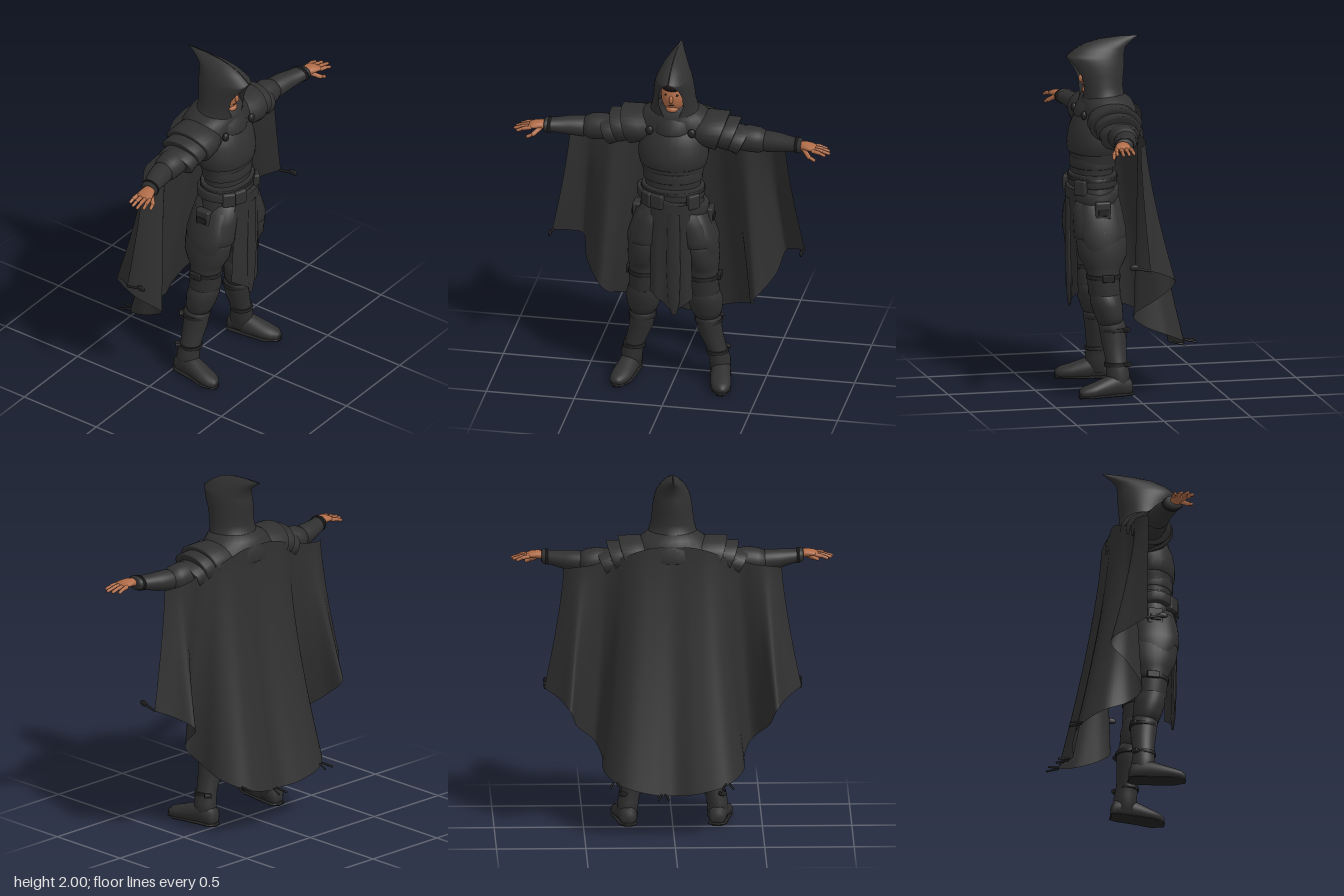
import * as THREE from 'three';
import { RoundedBoxGeometry } from 'three/addons/geometries/RoundedBoxGeometry.js';

const cloth = new THREE.MeshStandardMaterial({ color: 0x303030, side: THREE.DoubleSide });
cloth.name = 'charcoal cloth';
const strap = new THREE.MeshStandardMaterial({ color: 0x222222, side: THREE.DoubleSide });
strap.name = 'dark leather';
const skin = new THREE.MeshStandardMaterial({ color: 0xb06c48 });
skin.name = 'skin';
const hair = new THREE.MeshStandardMaterial({ color: 0x1c1614 });
hair.name = 'dark hair';

// Grid of points (rows x cols) to a smooth surface; optional wrap and end caps
function surface(rows, { wrap = false, caps = false, flip = false } = {}) {
  const n = rows[0].length, pos = rows.flat(2), idx = [];
  const tri = (a, b, c) => (flip ? idx.push(a, c, b) : idx.push(a, b, c));
  for (let i = 0; i < rows.length - 1; i++) {
    for (let j = 0; j < (wrap ? n : n - 1); j++) {
      const k = (j + 1) % n, a = i * n + j, b = i * n + k;
      tri(a, a + n, b);
      tri(b, a + n, b + n);
    }
  }
  if (caps) {
    for (const end of [0, rows.length - 1]) {
      const c = pos.length / 3;
      pos.push(...[0, 1, 2].map((k) => rows[end].reduce((s, p) => s + p[k], 0) / n));
      for (let j = 0; j < n; j++) {
        const a = end * n + j, b = end * n + ((j + 1) % n);
        end ? tri(c, b, a) : tri(c, a, b);
      }
    }
  }
  const g = new THREE.BufferGeometry();
  g.setAttribute('position', new THREE.Float32BufferAttribute(pos, 3));
  g.setIndex(idx);
  g.computeVertexNormals();
  return g;
}

// Elliptical rings [height, centreA, centreB, radiusA, radiusB, tilt] stacked along an axis
function loft(rings, axis = 'y', n = 28) {
  const rows = rings.map(([h, a, b, ra, rb, tilt = 0]) =>
    Array.from({ length: n }, (_, j) => {
      const t = (j / n) * Math.PI * 2;
      const p = a + ra * Math.cos(t), q = b + rb * Math.sin(t), s = h + tilt * Math.cos(t);
      return axis === 'y' ? [p, s, q] : axis === 'x' ? [s, p, q] : [p, q, s];
    }));
  const down = rings[rings.length - 1][0] < rings[0][0];
  return surface(rows, { wrap: true, caps: true, flip: (axis !== 'y') !== down });
}

const band = (y, x, z, rx, rz, h, tilt = 0) => loft([
  [y - h / 2, x, z, rx * 0.95, rz * 0.95, tilt], [y - h / 2.4, x, z, rx, rz, tilt],
  [y + h / 2.4, x, z, rx, rz, tilt], [y + h / 2, x, z, rx * 0.95, rz * 0.95, tilt]]);

function rod(a, b, r) {
  const A = new THREE.Vector3(...a), B = new THREE.Vector3(...b), d = B.clone().sub(A);
  const g = new THREE.CapsuleGeometry(r, d.length(), 4, 8);
  g.applyQuaternion(new THREE.Quaternion().setFromUnitVectors(new THREE.Vector3(0, 1, 0), d.clone().normalize()));
  const m = A.add(B).multiplyScalar(0.5);
  return g.translate(m.x, m.y, m.z);
}

const box = (w, h, d, x, y, z, ry = 0) =>
  new RoundedBoxGeometry(w, h, d, 2, Math.min(w, h, d) * 0.25).rotateY(ry).translate(x, y, z);
const ball = (x, y, z, rx, ry, rz) =>
  new THREE.SphereGeometry(1, 24, 16).scale(rx, ry, rz).translate(x, y, z);

function mirrored(g) {
  const m = g.clone().scale(-1, 1, 1);
  const src = m.index ? Array.from(m.index.array) : Array.from({ length: m.attributes.position.count }, (_, i) => i);
  for (let i = 0; i < src.length; i += 3) [src[i + 1], src[i + 2]] = [src[i + 2], src[i + 1]];
  m.setIndex(src);
  return m;
}

export function createModel() {
  const model = new THREE.Group(), body = new THREE.Group();
  model.name = 'hoodedFigure';
  body.name = 'figure';
  body.rotation.y = Math.PI / 2; // the figure is built facing z, then turned to face x
  model.add(body);
  const add = (name, g, mat = cloth) => {
    const m = new THREE.Mesh(g, mat);
    m.name = name;
    body.add(m);
  };
  const pair = (name, g, mat) => {
    add(name + 'Left', g, mat);
    add(name + 'Right', mirrored(g), mat);
  };

  // Torso, breastplate and collar
  add('torso', loft([[0.93, 0, 0.17, 0.15, 0.12], [1.05, 0, 0.17, 0.2, 0.14], [1.15, 0, 0.17, 0.17, 0.12],
    [1.25, 0, 0.175, 0.155, 0.115], [1.33, 0, 0.165, 0.175, 0.13], [1.42, 0, 0.155, 0.19, 0.145],
    [1.52, 0, 0.14, 0.185, 0.135], [1.6, 0, 0.12, 0.15, 0.12], [1.7, 0, 0.13, 0.07, 0.08]]));
  add('breastplate', loft([[1.35, 0, 0.165, 0.17, 0.13], [1.36, 0, 0.165, 0.188, 0.145], [1.42, 0, 0.16, 0.2, 0.153],
    [1.5, 0, 0.15, 0.195, 0.148], [1.57, 0, 0.13, 0.17, 0.135], [1.62, 0, 0.12, 0.12, 0.11]]));
  add('abdomenBand', band(1.3, 0, 0.172, 0.168, 0.128, 0.06));
  add('collar', loft([[1.55, 0, 0.135, 0.12, 0.13], [1.57, 0, 0.135, 0.135, 0.145], [1.63, 0, 0.135, 0.13, 0.125],
    [1.67, 0, 0.14, 0.09, 0.09], [1.7, 0, 0.14, 0.075, 0.08]]));
  add('shoulderCowl', loft([[1.52, 0, 0.09, 0.26, 0.15], [1.53, 0, 0.09, 0.275, 0.165], [1.6, 0, 0.09, 0.24, 0.16],
    [1.65, 0, 0.1, 0.18, 0.145], [1.69, 0, 0.12, 0.12, 0.11]]));

  // Head and face
  add('head', ball(0, 1.775, 0.15, 0.072, 0.105, 0.085), skin);
  add('nose', ball(0, 1.77, 0.235, 0.011, 0.024, 0.016), skin);
  add('chin', ball(0, 1.7, 0.2, 0.035, 0.022, 0.03), skin);
  add('mouth', ball(0, 1.733, 0.224, 0.02, 0.004, 0.005), hair);
  add('hairFringe', ball(0, 1.85, 0.17, 0.076, 0.045, 0.085), hair);
  pair('eye', ball(0.027, 1.795, 0.222, 0.013, 0.006, 0.005), hair);

  // Hood: half rings [y, halfWidth, back, front, openingHalfWidth] swept around the face opening
  const hood = [[1.6, 0.19, -0.07, 0.24, 0.02], [1.64, 0.16, -0.04, 0.24, 0.03], [1.68, 0.135, -0.005, 0.245, 0.05],
    [1.73, 0.122, 0, 0.255, 0.068], [1.79, 0.114, -0.005, 0.275, 0.068], [1.84, 0.108, -0.01, 0.3, 0.055],
    [1.88, 0.098, -0.01, 0.318, 0.03], [1.9, 0.09, -0.01, 0.322, 0.002], [1.94, 0.068, -0.02, 0.27, 0.001],
    [1.97, 0.042, -0.055, 0.21, 0.001], [1.99, 0.016, -0.085, 0.13, 0.001], [2, 0.003, -0.1, 0.02, 0.001]];
  add('hood', surface(hood.map(([y, w, b, f, o]) => Array.from({ length: 41 }, (_, j) => {
    const a0 = Math.asin(o / w), a = a0 + (j / 40) * (Math.PI * 2 - 2 * a0);
    return [w * Math.sin(a), y, (f + b) / 2 + ((f - b) / 2) * Math.cos(a)];
  })), { flip: true }));

  // Layered shoulder pads
  const pads = [[0.1, 0.27, 1.565, 1.545, 0.105, 0.15], [0.2, 0.335, 1.55, 1.53, 0.09, 0.13], [0.27, 0.39, 1.525, 1.495, 0.075, 0.115]];
  pads.forEach(([x0, x1, y0, y1, ry, rz], i) => pair('shoulderPad' + (i + 1), loft([
    [x0, y0, 0.09, ry * 0.8, rz * 0.85, 0.01], [(x0 + x1) / 2, (y0 + y1) / 2, 0.1, ry * 0.92, rz * 0.97, 0.02],
    [x1, y1, 0.1, ry, rz, 0.035], [x1 + 0.003, y1, 0.1, ry * 0.85, rz * 0.85, 0.03]], 'x')));

  // Arms, gloves of the sleeve and hands
  pair('sleeve', loft([[0.15, 1.53, 0.09, 0.08, 0.09], [0.36, 1.51, 0.1, 0.066, 0.075], [0.42, 1.51, 0.1, 0.075, 0.08],
    [0.48, 1.505, 0.1, 0.072, 0.076], [0.525, 1.505, 0.105, 0.052, 0.058]], 'x'));
  pair('bracer', loft([[0.5, 1.505, 0.105, 0.05, 0.055], [0.52, 1.505, 0.107, 0.06, 0.065], [0.6, 1.51, 0.122, 0.053, 0.06],
    [0.68, 1.517, 0.148, 0.04, 0.052], [0.72, 1.522, 0.162, 0.041, 0.054], [0.732, 1.523, 0.164, 0.034, 0.045]], 'x'));
  pair('wristStrap', loft([[0.695, 1.52, 0.155, 0.044, 0.056], [0.71, 1.52, 0.16, 0.044, 0.056]], 'x'), strap);
  pair('palm', loft([[0.71, 1.525, 0.17, 0.022, 0.03], [0.75, 1.53, 0.178, 0.024, 0.038], [0.79, 1.528, 0.185, 0.018, 0.048],
    [0.815, 1.522, 0.187, 0.013, 0.045]], 'x'), skin);
  [[0.145, 0.865], [0.172, 0.885], [0.2, 0.892], [0.226, 0.872]].forEach(([f, tip], i) => {
    const mid = (0.81 + tip) / 2, spread = (f - 0.187) * 1.2 + 0.19;
    pair('finger' + (i + 1), rod([0.805, 1.522, f], [mid, 1.517, (f + spread) / 2], 0.0115), skin);
    pair('fingertip' + (i + 1), rod([mid, 1.517, (f + spread) / 2], [tip, 1.506, spread], 0.0095), skin);
  });
  pair('thumb', rod([0.745, 1.518, 0.195], [0.785, 1.488, 0.235], 0.013), skin);
  pair('thumbTip', rod([0.785, 1.488, 0.235], [0.815, 1.475, 0.243], 0.01), skin);

  // Belts, sash and pouches
  add('belt', band(1.2, 0, 0.172, 0.178, 0.134, 0.075));
  add('beltStrap', band(1.21, 0, 0.172, 0.182, 0.138, 0.022), strap);
  add('sash', band(1.145, 0, 0.172, 0.205, 0.148, 0.055, -0.045));
  pair('sidePouch', box(0.045, 0.1, 0.09, 0.205, 1.05, 0.16));
  pair('sideBuckle', box(0.015, 0.035, 0.06, 0.228, 1.04, 0.16), strap);
  for (const a of [-0.75, -0.35, 0.8])
    add('beltPouch', box(0.075, 0.085, 0.04, Math.sin(a) * 0.185, 1.17, 0.172 + Math.cos(a) * 0.14, a));

  // Hip guards and thighs
  pair('hipGuard', loft([[1.12, 0.08, 0.168, 0.09, 0.125], [1.02, 0.115, 0.167, 0.105, 0.142], [0.93, 0.14, 0.162, 0.115, 0.148],
    [0.89, 0.142, 0.16, 0.115, 0.148], [0.885, 0.142, 0.16, 0.1, 0.135]]));
  pair('breeches', loft([[0.95, 0.135, 0.162, 0.1, 0.13], [0.87, 0.15, 0.155, 0.105, 0.145], [0.79, 0.16, 0.15, 0.1, 0.138],
    [0.735, 0.165, 0.15, 0.092, 0.11], [0.7, 0.167, 0.15, 0.085, 0.092], [0.57, 0.167, 0.142, 0.09, 0.09], [0.555, 0.167, 0.14, 0.075, 0.075]]));
  pair('sideTasset', loft([[1.08, 0.15, 0.17, 0.055, 0.1], [0.92, 0.2, 0.165, 0.058, 0.12],
    [0.8, 0.205, 0.16, 0.05, 0.09], [0.74, 0.205, 0.155, 0.03, 0.03]]));
  pair('thighStrap', band(0.67, 0.167, 0.149, 0.092, 0.097, 0.025), strap);
  pair('thighBuckle', box(0.02, 0.04, 0.07, 0.26, 0.67, 0.14), strap);

  // Front tabard with pointed hem
  const tabard = Array.from({ length: 13 }, (_, i) => Array.from({ length: 13 }, (_, j) => {
    const v = i / 12, u = j / 6 - 1, low = 0.5 + 0.09 * Math.abs(u - 0.2);
    return [0.01 + u * (0.11 + 0.012 * v), 1.16 + (low - 1.16) * v, 0.325 - 0.025 * u * u - 0.012 * v + 0.006 * Math.cos(u * 9) * v];
  }));
  add('tabard', surface(tabard));
  add('tabardTail', loft([[1.1, 0.03, 0.318, 0.035, 0.014], [0.75, 0.03, 0.318, 0.04, 0.014], [0.55, 0.03, 0.312, 0.032, 0.012], [0.48, 0.03, 0.31, 0.015, 0.006]]));

  // Lower legs and boots
  pair('kneeGuard', loft([[0.58, 0.17, 0.14, 0.075, 0.075], [0.565, 0.17, 0.14, 0.092, 0.085], [0.51, 0.175, 0.132, 0.102, 0.088],
    [0.44, 0.18, 0.118, 0.088, 0.078], [0.4, 0.183, 0.11, 0.07, 0.07]]));
  pair('shin', loft([[0.42, 0.182, 0.108, 0.07, 0.072], [0.38, 0.187, 0.1, 0.074, 0.077], [0.3, 0.197, 0.095, 0.068, 0.07],
    [0.2, 0.23, 0.09, 0.056, 0.06], [0.13, 0.25, 0.085, 0.06, 0.066], [0.04, 0.252, 0.08, 0.056, 0.066]]));
  pair('foot', loft([[0.005, 0.25, 0.045, 0.03, 0.035], [0.02, 0.25, 0.055, 0.05, 0.053], [0.09, 0.257, 0.068, 0.056, 0.068],
    [0.16, 0.268, 0.056, 0.058, 0.056], [0.23, 0.282, 0.043, 0.06, 0.043], [0.285, 0.291, 0.036, 0.05, 0.034], [0.312, 0.294, 0.032, 0.025, 0.02]], 'z'));
  pair('sole', loft([[0, 0.25, 0.01, 0.035, 0.01], [0.03, 0.25, 0.01, 0.054, 0.01], [0.15, 0.266, 0.01, 0.056, 0.01],
    [0.25, 0.285, 0.01, 0.06, 0.01], [0.315, 0.294, 0.01, 0.026, 0.01]], 'z'), strap);
  for (const [y, x, r] of [[0.37, 0.188, 0.079], [0.18, 0.236, 0.063]]) {
    pair('bootStrap', band(y, x, 0.095, r, r, 0.022), strap);
    pair('bootBuckle', box(0.04, 0.022, 0.05, x + r * 0.6, y, 0.04, -0.7), strap);
  }

  // Cape: columns [topX, topY, topZ, hemX, hemY, hemZ] for one half, folded and mirrored
  const half = [[0, 1.62, -0.06, 0, 0.24, -0.265], [0.1, 1.62, -0.065, 0.12, 0.255, -0.295], [0.19, 1.6, -0.065, 0.29, 0.3, -0.285],
    [0.26, 1.57, -0.045, 0.39, 0.36, -0.17], [0.33, 1.54, -0.01, 0.4, 0.42, -0.03], [0.38, 1.53, 0, 0.44, 0.49, 0.04],
    [0.45, 1.51, -0.01, 0.54, 0.6, -0.07], [0.52, 1.5, -0.01, 0.575, 0.7, -0.17], [0.57, 1.49, 0.01, 0.64, 0.76, -0.08], [0.61, 1.48, 0.04, 0.72, 0.8, 0.01]];
  const full = [...half.slice(1).reverse().map(([a, b, c, d, e, f]) => [-a, b, c, -d, e, f]), ...half];
  const top = new THREE.CatmullRomCurve3(full.map((c) => new THREE.Vector3(c[0], c[1], c[2])));
  const hem = new THREE.CatmullRomCurve3(full.map((c) => new THREE.Vector3(c[3], c[4], c[5])));
  add('cape', surface(Array.from({ length: 25 }, (_, i) => Array.from({ length: 109 }, (_, j) => {
    const v = i / 24, a = top.getPoint(j / 108), b = hem.getPoint(j / 108), s = v ** 1.35;
    return [a.x + (b.x - a.x) * s, a.y + (b.y - a.y) * v, a.z + (b.z - a.z) * s];
  }))));

  // Hem tassels
  for (const [x, y, z] of [[-0.3, 0.31, -0.28], [0.06, 0.25, -0.28], [0.33, 0.32, -0.28]])
    for (const d of [-0.022, 0.022]) add('hemTassel', rod([x + d * 0.5, y, z], [x + d * 1.3, y - 0.012, z - 0.06], 0.006), strap);
  pair('wingTassel', rod([0.715, 0.8, 0.01], [0.715, 0.82, 0.1], 0.007), strap);
  pair('wingTasselEnd', ball(0.715, 0.822, 0.1, 0.008, 0.018, 0.028), strap);

  // Cloak clasps
  pair('clasp', ball(0.12, 1.58, 0.25, 0.022, 0.026, 0.016), strap);
  return model;
}
